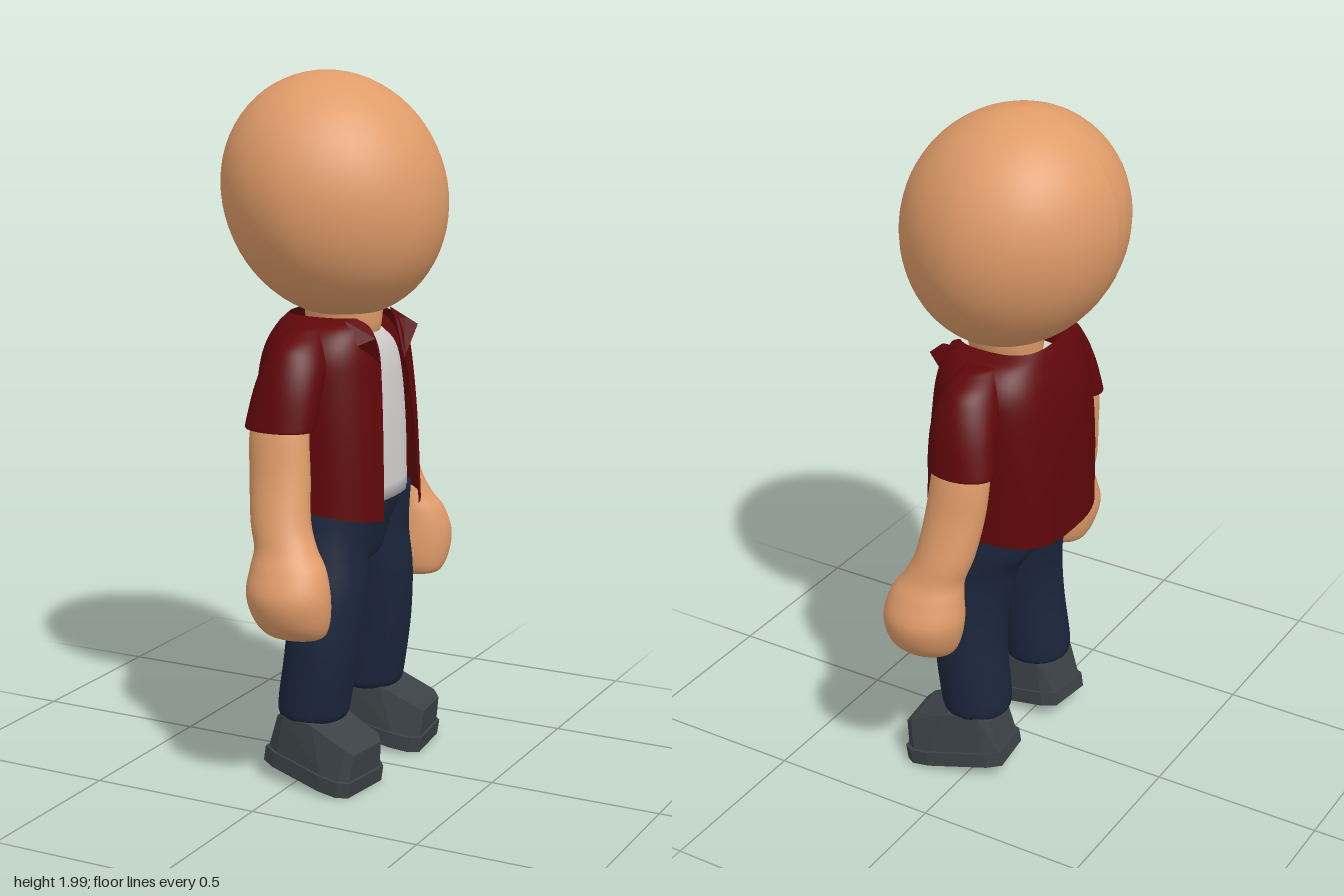
import * as THREE from 'three';
import { ConvexGeometry } from 'three/addons/geometries/ConvexGeometry.js';

const mat = (name, color, extra = {}) => Object.assign(new THREE.MeshStandardMaterial({ color, ...extra }), { name });

// Smooth loft through rows [y, centreX, centreZ, halfX, halfZ, frontGap], listed from the bottom up.
// A front gap leaves an open shell; otherwise the ends are capped.
function loft(rows, { power = 1, open = false, sides = 36, steps = 5 } = {}) {
  const size = 6, n = rows.length;
  const values = new Float32Array(rows.flatMap(r => [...r, 0].slice(0, size)));
  const spline = new THREE.CubicInterpolant(new Float32Array(rows.map((_, i) => i)), values, size);
  const pos = [], index = [];
  const bend = v => Math.sign(v) * Math.abs(v) ** power;
  const rings = (n - 1) * steps, cols = open ? sides + 1 : sides;
  for (let i = 0; i <= rings; i++) {
    const [y, cx, cz, hx, hz, gap] = spline.evaluate(i / steps);
    const t0 = open ? Math.asin((gap / hz) ** (1 / power)) : 0;
    for (let j = 0; j < cols; j++) {
      const t = t0 + (j / sides) * (2 * Math.PI - 2 * t0);
      pos.push(cx + hx * bend(Math.cos(t)), y, cz + hz * bend(Math.sin(t)));
    }
  }
  for (let i = 0; i < rings; i++) {
    for (let j = 0; j < sides; j++) {
      const k = (j + 1) % cols;
      const a = i * cols + j, b = i * cols + k, c = a + cols, d = b + cols;
      index.push(a, c, b, b, c, d);
    }
  }
  if (!open) {
    const lo = pos.length / 3, hi = lo + 1, last = rings * cols;
    const first = rows[0], end = rows[n - 1];
    pos.push(first[1], first[0], first[2], end[1], end[0], end[2]);
    for (let j = 0; j < sides; j++) {
      const k = (j + 1) % sides;
      index.push(lo, j, k, hi, last + k, last + j);
    }
  }
  const g = new THREE.BufferGeometry();
  g.setAttribute('position', new THREE.Float32BufferAttribute(pos, 3));
  g.setIndex(index);
  g.computeVertexNormals();
  return g;
}

// Move every vertex by a rule, then refresh the normals
function reshape(g, rule) {
  const p = g.attributes.position, v = new THREE.Vector3();
  for (let i = 0; i < p.count; i++) {
    rule(v.fromBufferAttribute(p, i));
    p.setXYZ(i, v.x, v.y, v.z);
  }
  g.computeVertexNormals();
  return g;
}

const hull = pts => new ConvexGeometry(pts.map(p => new THREE.Vector3(...p)));
const bothSides = pts => pts.flatMap(([x, y, z]) => [[x, y, z], [x, y, -z]]);

export function createModel() {
  const model = new THREE.Group();
  model.name = 'figure';
  const skin = mat('skin', 0xe09c69);
  const red = mat('red jacket', 0x5f070a, { side: THREE.DoubleSide });
  const white = mat('white shirt', 0xd2d1cf);
  const navy = mat('navy trousers', 0x1b263c);
  const grey = mat('grey shoes', 0x3b4246);
  const add = (name, geometry, material, parent = model) => {
    const m = new THREE.Mesh(geometry, material);
    m.name = name;
    parent.add(m);
    return m;
  };

  // Head: a slightly sheared ball, narrower towards the face and fuller at the jaw
  add('head', reshape(new THREE.SphereGeometry(1, 48, 32), v => {
    const taper = 1 - 0.11 * Math.max(0, v.x);
    const height = v.y > 0 ? 0.335 : 0.348;
    v.set(0.319 * v.x - 0.03 * v.y, 1.665 + height * v.y, 0.325 * v.z * taper);
  }), skin);
  add('neck', loft([
    [1.22, 0.02, 0, 0.08, 0.07], [1.28, 0.025, 0, 0.105, 0.09],
    [1.34, 0.025, 0, 0.112, 0.105], [1.4, 0.025, 0, 0.112, 0.105],
  ]), skin);

  // Shirt under the open jacket
  add('shirt', loft([
    [0.81, 0.005, 0, 0.18, 0.22], [1.0, 0, 0, 0.18, 0.22], [1.15, 0, 0, 0.168, 0.21],
    [1.23, 0.01, 0, 0.143, 0.18], [1.28, 0.015, 0, 0.115, 0.11],
  ], { power: 0.8 }), white);

  // Jacket shell, with a hem dipping at front and back
  add('jacket', reshape(loft([
    [0.8, 0.008, 0, 0.21, 0.252, 0.112], [1.0, 0.003, 0, 0.203, 0.25, 0.1],
    [1.15, 0.002, 0, 0.189, 0.245, 0.085], [1.24, 0.005, 0, 0.172, 0.235, 0.075],
    [1.3, 0.01, 0, 0.15, 0.195, 0.085], [1.33, 0.01, 0, 0.13, 0.13, 0.1],
  ], { power: 0.72, open: true, sides: 48 }), v => {
    const low = Math.max(0, 1 - (v.y - 0.8) / 0.15);
    v.y -= 0.03 * low * (v.x / 0.2) ** 2;
  }), red);

  // Hips
  add('hips', loft([
    [0.605, 0.04, 0, 0.05, 0.06], [0.64, 0.038, 0, 0.085, 0.15], [0.72, 0.02, 0, 0.126, 0.222],
    [0.8, 0.01, 0, 0.16, 0.24], [0.88, 0, 0, 0.165, 0.215],
  ], { power: 0.9 }), navy);

  for (const s of [1, -1]) {
    const side = s > 0 ? 'right' : 'left';
    const mirrored = rows => rows.map(([y, x, z, hx, hz]) => [y, x, s * z, hx, hz]);

    // Jacket collar and sleeve
    add(side + 'Lapel', hull([
      [0.165, 1.308, 0.11 * s], [0.192, 1.285, 0.135 * s], [0.15, 1.265, 0.16 * s],
      [0.1, 1.328, 0.14 * s], [0.178, 1.195, 0.077 * s], [0.14, 1.3, 0.1 * s],
    ]), red);
    add(side + 'Sleeve', loft(mirrored([
      [1.045, -0.015, 0.306, 0.1, 0.068], [1.06, -0.014, 0.302, 0.102, 0.07],
      [1.15, -0.005, 0.275, 0.098, 0.08], [1.22, 0, 0.24, 0.088, 0.09],
      [1.27, 0, 0.205, 0.07, 0.09], [1.31, 0, 0.155, 0.045, 0.065],
    ])), red);

    // Arm running into a rounded fist
    add(side + 'Arm', loft(mirrored([
      [0.48, 0.07, 0.37, 0.05, 0.03], [0.495, 0.068, 0.374, 0.088, 0.065],
      [0.54, 0.064, 0.386, 0.11, 0.092], [0.61, 0.058, 0.394, 0.12, 0.102],
      [0.68, 0.052, 0.383, 0.108, 0.087], [0.73, 0.037, 0.368, 0.09, 0.075],
      [0.8, 0.012, 0.35, 0.086, 0.073], [0.92, -0.005, 0.322, 0.088, 0.068],
      [1.05, -0.015, 0.303, 0.086, 0.062], [1.2, -0.01, 0.25, 0.07, 0.07],
    ])), skin);

    // Trouser leg
    add(side + 'Leg', loft(mirrored([
      [0.185, 0.02, 0.175, 0.08, 0.08], [0.2, 0.02, 0.175, 0.098, 0.1],
      [0.25, 0.025, 0.174, 0.104, 0.106], [0.4, 0.045, 0.167, 0.106, 0.109],
      [0.55, 0.05, 0.15, 0.113, 0.112], [0.66, 0.036, 0.133, 0.123, 0.117],
      [0.73, 0.016, 0.125, 0.147, 0.118], [0.82, 0.01, 0.118, 0.163, 0.118],
    ])), navy);

    // Shoe, pitched toe-down and turned slightly outwards
    const shoe = new THREE.Group();
    shoe.name = side + 'Shoe';
    shoe.position.set(0.052, 0.03, 0.193 * s);
    shoe.rotation.set(0, -0.12 * s, -0.155);
    model.add(shoe);
    const outline = [[-0.152, 0.07], [-0.11, 0.09], [0.07, 0.115], [0.125, 0.11], [0.152, 0.085]];
    add('sole', hull(bothSides([0, 0.045].flatMap(y => outline.map(([x, z]) => [x, y, z])))), grey, shoe);
    add('upper', hull(bothSides([
      ...outline.map(([x, z]) => [x * 0.95, 0.04, z * 0.93]),
      [-0.132, 0.145, 0.06], [-0.1, 0.158, 0.08], [0, 0.168, 0.088],
      [0.12, 0.135, 0.085], [0.142, 0.122, 0.068],
    ])), grey, shoe);
  }
  return model;
}
